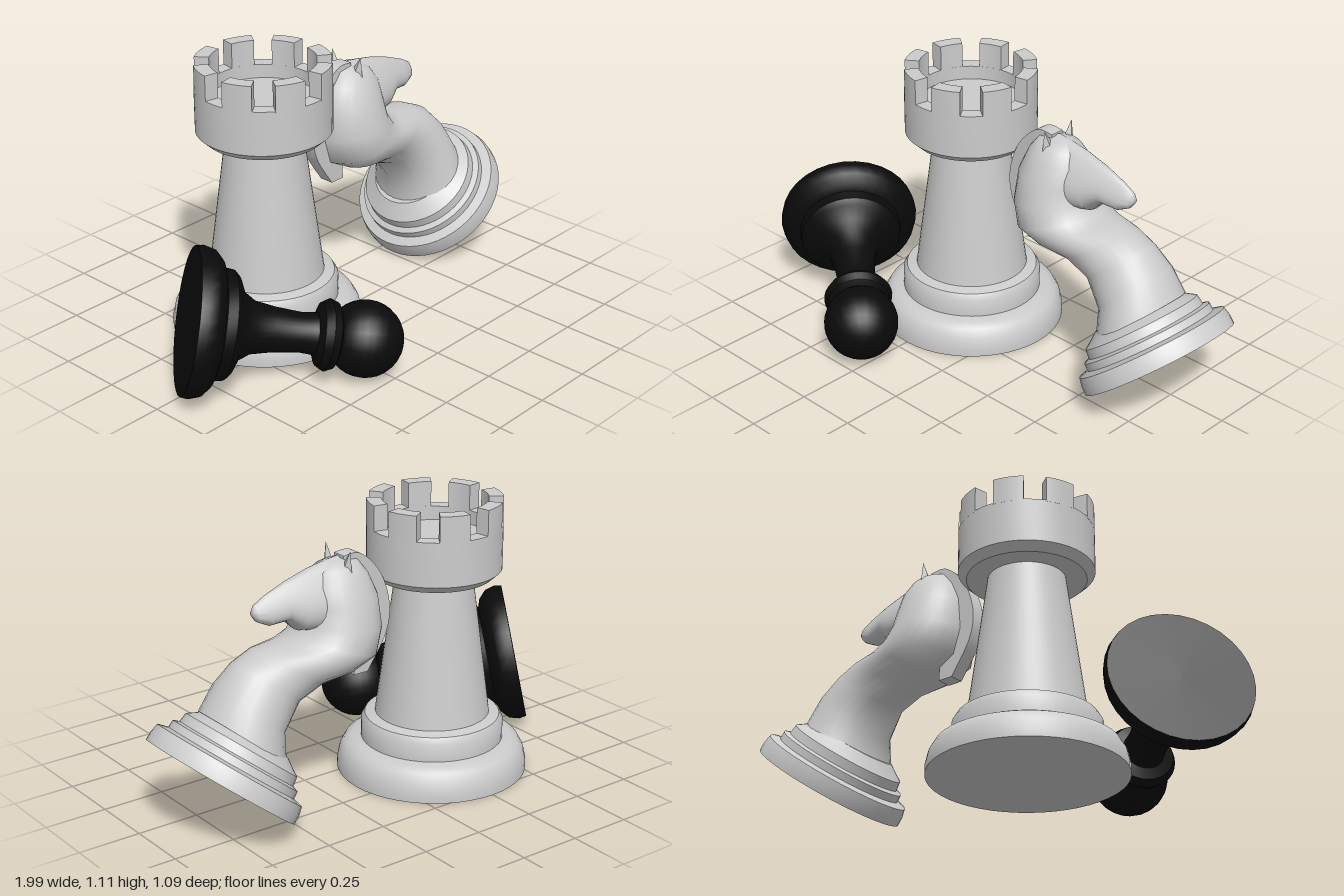
import * as THREE from 'three';
import { toCreasedNormals } from 'three/addons/utils/BufferGeometryUtils.js';

const grey = new THREE.MeshStandardMaterial({ color: 0xcccccc });
const black = new THREE.MeshStandardMaterial({ color: 0x0a0a0a });

function part(name, geometry, parent, material = grey) {
  const mesh = new THREE.Mesh(geometry, material);
  mesh.name = name;
  parent.add(mesh);
  return mesh;
}

function turned(profile, segments) {
  const points = profile.map(([r, y]) => new THREE.Vector2(r, y));
  return toCreasedNormals(new THREE.LatheGeometry(points, segments), 0.6);
}

// Skins oval sections [x0, y0, x1, y1, halfWidth]; taper widens the second end.
function loft(sections, taper, sides = 28) {
  const position = [], index = [];
  sections.forEach(([x0, y0, x1, y1, w], j) => {
    for (let i = 0; i < sides; i++) {
      const a = (i / sides) * Math.PI * 2, c = Math.cos(a);
      position.push(
        (x0 + x1) / 2 + ((x1 - x0) / 2) * c,
        (y0 + y1) / 2 + ((y1 - y0) / 2) * c,
        w * Math.sin(a) * (1 + taper * c));
      if (j === 0) continue;
      const n = (i + 1) % sides, lo = (j - 1) * sides, hi = j * sides;
      index.push(lo + i, hi + i, lo + n, hi + i, hi + n, lo + n);
    }
  });
  const geometry = new THREE.BufferGeometry();
  geometry.setAttribute('position', new THREE.Float32BufferAttribute(position, 3));
  geometry.setIndex(index);
  return toCreasedNormals(geometry, 0.9);
}

function createRook() {
  const rook = new THREE.Group();
  rook.name = 'rook';
  // Foot, ring, tapered tower and hollow crown in one turned profile
  part('rookBody', turned([
    [0, 0], [0.375, 0], [0.375, 0.03], [0.365, 0.075], [0.345, 0.11], [0.315, 0.125], [0.28, 0.13],
    [0.28, 0.2], [0.265, 0.225], [0.225, 0.235], [0.15, 0.8], [0.23, 0.8], [0.262, 0.83],
    [0.262, 1.005], [0.205, 1.005], [0.205, 0.95], [0, 0.95],
  ], 48), rook);

  // Eight battlements around the rim, with a gap facing the front
  const half = THREE.MathUtils.degToRad(13);
  const sector = new THREE.Shape();
  sector.absarc(0, 0, 0.262, -half, half, false);
  sector.absarc(0, 0, 0.205, half, -half, true);
  const block = new THREE.ExtrudeGeometry(sector, { depth: 0.105, bevelEnabled: false, curveSegments: 6 });
  block.rotateX(-Math.PI / 2);
  for (let i = 0; i < 8; i++) {
    const merlon = part('battlement', block, rook);
    merlon.position.y = 1;
    merlon.rotation.y = ((i + 0.5) * Math.PI) / 4;
  }
  rook.position.set(-0.25, 0, -0.17);
  return rook;
}

function createKnight() {
  const knight = new THREE.Group();
  knight.name = 'knight';
  // Tilted stepped base
  const base = part('knightBase', turned([
    [0, 0], [0.312, 0], [0.312, 0.035], [0.304, 0.07], [0.265, 0.08], [0.263, 0.11], [0.24, 0.118],
    [0.235, 0.155], [0.205, 0.175], [0.17, 0.2], [0, 0.2],
  ], 48), knight);
  base.position.set(0.749, 0.202, 0);
  base.rotation.z = THREE.MathUtils.degToRad(38.7);

  // Neck: sections run from the mane side to the throat side
  part('neck', loft([
    [0.65, 0.35, 0.65, 0.35, 0],
    [0.505, 0.23, 0.79, 0.47, 0.195],
    [0.505, 0.353, 0.73, 0.567, 0.165],
    [0.425, 0.455, 0.66, 0.636, 0.14],
    [0.32, 0.497, 0.575, 0.674, 0.14],
    [0.19, 0.52, 0.463, 0.68, 0.165],
    [0.083, 0.578, 0.404, 0.69, 0.185],
    [0.05, 0.684, 0.372, 0.738, 0.17],
    [0.061, 0.813, 0.36, 0.8, 0.145],
    [0.094, 0.893, 0.35, 0.872, 0.11],
    [0.136, 0.947, 0.318, 0.92, 0.075],
    [0.18, 0.957, 0.275, 0.952, 0.03],
    [0.22, 0.957, 0.22, 0.957, 0],
  ], 0), knight);

  // Head: sections run from the ridge of the face down to the jaw
  part('head', loft([
    [0.2, 0.83, 0.2, 0.83, 0],
    [0.21, 0.965, 0.22, 0.7, 0.09],
    [0.27, 0.957, 0.33, 0.705, 0.088],
    [0.35, 0.942, 0.41, 0.72, 0.075],
    [0.45, 0.913, 0.46, 0.768, 0.055],
    [0.54, 0.878, 0.53, 0.763, 0.038],
    [0.585, 0.853, 0.575, 0.785, 0.025],
    [0.595, 0.835, 0.59, 0.805, 0.014],
    [0.596, 0.82, 0.596, 0.82, 0],
  ], 0.45), knight);

  // Mane crest: a thin curved plate along the back of the neck
  const crest = new THREE.Shape();
  crest.moveTo(0.206, 0.968);
  crest.splineThru([[0.126, 0.963], [0.035, 0.872], [-0.01, 0.738], [0.008, 0.62], [0.094, 0.487]]
    .map(([x, y]) => new THREE.Vector2(x, y)));
  crest.lineTo(0.158, 0.487);
  crest.lineTo(0.155, 0.54);
  crest.lineTo(0.2, 0.7);
  const mane = new THREE.ExtrudeGeometry(crest, { depth: 0.06, bevelEnabled: false, curveSegments: 20 });
  mane.translate(0, 0, -0.03);
  part('mane', toCreasedNormals(mane, 0.6), knight);

  // Pointed ears
  for (const side of [-1, 1]) {
    const ear = part('ear', new THREE.ConeGeometry(0.04, 0.1, 4).toNonIndexed(), knight);
    ear.geometry.computeVertexNormals();
    ear.scale.x = 0.6;
    ear.position.set(0.21, 0.95, side * 0.063);
    ear.rotation.x = side * 0.25;
  }
  knight.position.z = -0.17;
  return knight;
}

function createPawn() {
  // Turned pawn lying on its side, ending in a round head
  const pawn = new THREE.Group();
  pawn.name = 'pawn';
  part('pawnBody', turned([
    [0, 0], [0.278, 0], [0.283, 0.03], [0.272, 0.07], [0.24, 0.1], [0.21, 0.11], [0.205, 0.15],
    [0.185, 0.17], [0.13, 0.195], [0.1, 0.24], [0.085, 0.32], [0.075, 0.42], [0.08, 0.48],
    [0.12, 0.495], [0.137, 0.525], [0.125, 0.555], [0.08, 0.575], [0, 0.58],
  ], 32), pawn, black);
  part('pawnHead', new THREE.SphereGeometry(0.147, 24, 16), pawn, black).position.y = 0.673;
  pawn.position.set(-0.824, 0.293, -0.01);
  pawn.quaternion.setFromUnitVectors(
    new THREE.Vector3(0, 1, 0), new THREE.Vector3(0.519, -0.138, 0.406).normalize());
  return pawn;
}

export function createModel() {
  const model = new THREE.Group();
  model.name = 'chessPieces';
  model.add(createRook(), createKnight(), createPawn());
  return model;
}
